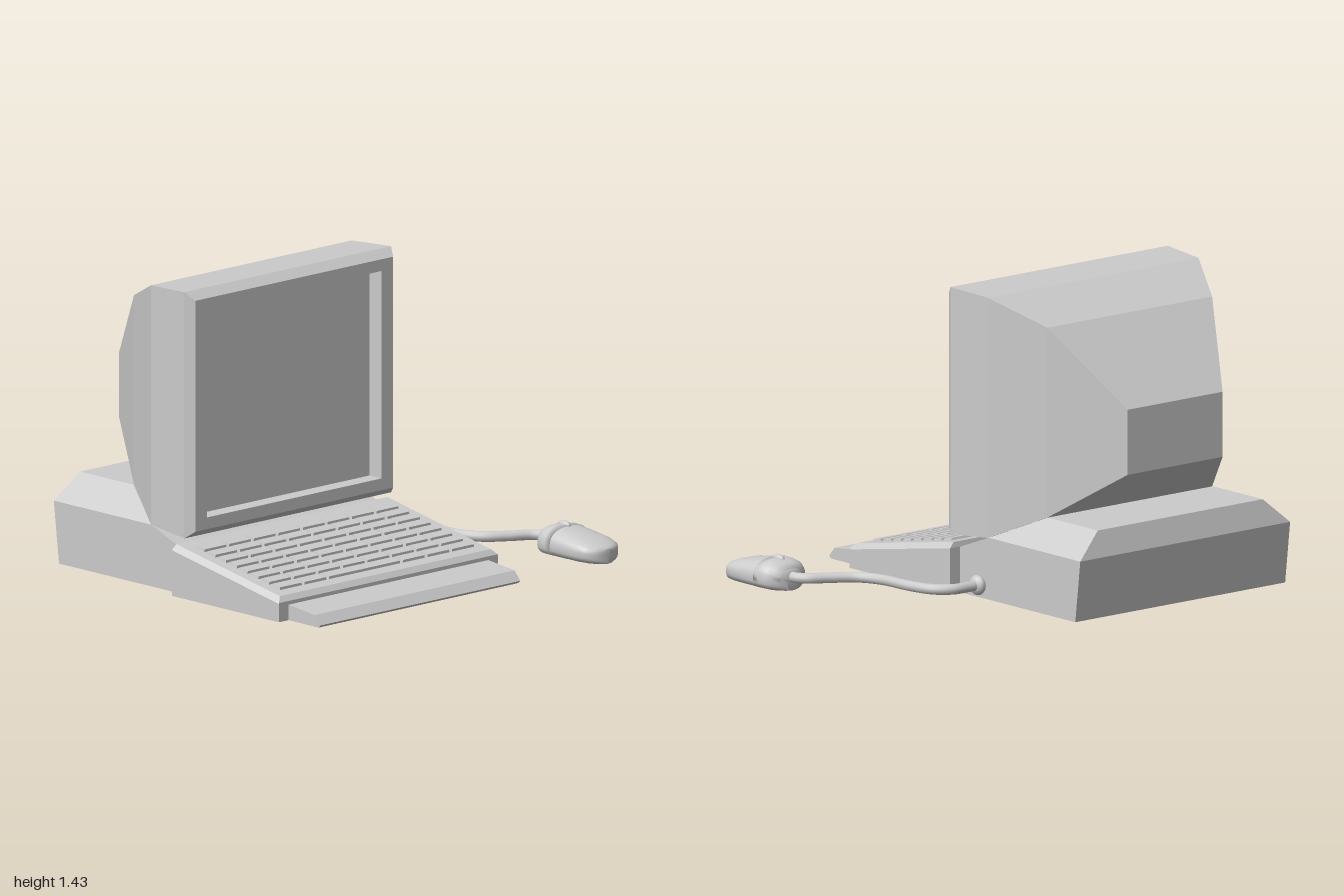
import * as THREE from 'three';

const CX = -0.31; // centre line of the computer
const flat = new THREE.MeshStandardMaterial({ color: 0xcccccc, flatShading: true, side: THREE.DoubleSide });
const smooth = new THREE.MeshStandardMaterial({ color: 0xcccccc });

// Skin over cross-sections ordered from back to front, corners counter-clockwise seen from the front
function loft(rings, capFront = true) {
  const n = rings[0].length, pos = rings.flat(2), idx = [];
  for (let i = 0; i < rings.length - 1; i++) {
    for (let j = 0; j < n; j++) {
      const a = i * n + j, b = i * n + (j + 1) % n;
      idx.push(a, b, b + n, a, b + n, a + n);
    }
  }
  const last = (rings.length - 1) * n;
  for (let j = 1; j < n - 1; j++) {
    idx.push(0, j + 1, j);
    if (capFront) idx.push(last, last + j, last + j + 1);
  }
  const g = new THREE.BufferGeometry();
  g.setAttribute('position', new THREE.Float32BufferAttribute(pos, 3));
  g.setIndex(idx);
  g.computeVertexNormals();
  return g;
}

const rect = (x0, x1, y0, y1, z) => [[x0, y0, z], [x1, y0, z], [x1, y1, z], [x0, y1, z]];

// Box section with chamfered shoulders: half widths, heights and depths of bottom, shoulder and top
const shouldered = (ws, wt, ys, yt, zb, zs, zt) => [
  [CX - ws, ys, zs], [CX - ws, 0, zb], [CX + ws, 0, zb],
  [CX + ws, ys, zs], [CX + wt, yt, zt], [CX - wt, yt, zt],
];

// Rounded mouse section: half width, top height, depth
function mouseRing([w, h, z], grow = 0) {
  const ring = [], n = 28, mid = Math.min(0.055, h * 0.6);
  const pw = (v, e) => Math.sign(v) * Math.abs(v) ** e;
  for (let i = 0; i < n; i++) {
    const t = (i / n) * Math.PI * 2, c = Math.cos(t), s = Math.sin(t);
    ring.push([
      0.877 + (w + grow * 0.3) * pw(c, s < 0 ? 0.5 : 0.8),
      s < 0 ? mid + mid * pw(s, 0.7) : mid + (h + grow - mid) * pw(s, 0.85), z,
    ]);
  }
  return ring;
}

export function createModel() {
  const model = new THREE.Group();
  const add = (name, geo, mat = flat, parent = model) => {
    const m = new THREE.Mesh(geo, mat);
    m.name = name;
    parent.add(m);
    return m;
  };

  // Monitor housing with recessed opening
  add('monitorHousing', loft([
    rect(-0.59, -0.02, 0.635, 0.94, -0.82),
    rect(-0.80, 0.19, 0.41, 1.30, -0.5),
    rect(-0.94, 0.325, 0.29, 1.415, -0.24),
    rect(-0.96, 0.345, 0.27, 1.427, 0),
    rect(-0.93, 0.315, 0.305, 1.39, 0.045),
    rect(-0.86, 0.242, 0.36, 1.335, 0.045),
    rect(-0.86, 0.242, 0.36, 1.335, -0.035),
  ], false));
  add('screen', new THREE.PlaneGeometry(1.102, 0.975)).position.set(-0.309, 0.8475, -0.035);

  // Rear case with raised plateau under the monitor
  add('rearCase', loft([
    shouldered(0.63, 0.495, 0.29, 0.41, -0.85, -0.885, -0.85),
    shouldered(0.63, 0.495, 0.29, 0.41, -0.5, -0.5, -0.5),
    shouldered(0.63, 0.63, 0.29, 0.29, -0.24, -0.24, -0.24),
    shouldered(0.63, 0.63, 0.21, 0.21, -0.03, -0.03, -0.03),
  ]));

  // Sloping keyboard body with chamfered rim
  add('keyboardBody', loft([
    shouldered(0.69, 0.665, 0.215, 0.24, -0.04, -0.04, -0.035),
    shouldered(0.69, 0.665, 0.09, 0.115, 0.65, 0.65, 0.65),
    shouldered(0.69, 0.69, 0.085, 0.09, 0.67, 0.67, 0.67),
  ]));

  // Palm rest in front of the keyboard
  const restRing = (x) => [[x, 0, 0.62], [x, 0, 0.87], [x, 0.012, 0.882], [x, 0.055, 0.845], [x, 0.078, 0.62]];
  add('palmRest', loft([restRing(CX + 0.63), restRing(CX - 0.63)]));

  // Keys lie on the keyboard slope
  const keys = new THREE.Group();
  keys.name = 'keys';
  keys.position.set(CX, 0.24, -0.035);
  keys.rotation.x = Math.atan(0.125 / 0.685);
  model.add(keys);
  const pitchX = 0.155, pitchZ = 0.0725;
  const addKey = (name, col, row, span) => {
    const w = pitchX * span - 0.01, d = pitchZ - 0.012;
    const g = new THREE.BoxGeometry(w, 0.024, d), p = g.attributes.position;
    for (let i = 0; i < p.count; i++) {
      if (p.getY(i) > 0) { // taper towards the top
        p.setX(i, p.getX(i) - Math.sign(p.getX(i)) * 0.005);
        p.setZ(i, p.getZ(i) - Math.sign(p.getZ(i)) * 0.005);
      }
    }
    add(name, g, flat, keys).position.set((col + span / 2 - 4) * pitchX, 0, 0.068 + (row + 0.5) * pitchZ);
  };
  for (let row = 0; row < 8; row++) {
    for (let col = 0; col < 8; col++) {
      if (row === 7 && col >= 2 && col <= 4) continue;
      addKey('key', col, row, 1);
    }
  }
  addKey('spaceBar', 2, 7, 3);

  // Cable with its plug on the side of the case
  const path = [[0.32, -0.185], [0.40, -0.187], [0.48, -0.18], [0.55, -0.12], [0.585, 0.0], [0.60, 0.18],
    [0.65, 0.29], [0.75, 0.365], [0.84, 0.42], [0.872, 0.47], [0.875, 0.52]];
  const curve = new THREE.CatmullRomCurve3(path.map(([x, z]) => new THREE.Vector3(x, 0.062, z)));
  add('mouseCable', new THREE.TubeGeometry(curve, 64, 0.025, 10), smooth);
  const plug = add('cablePlug', new THREE.SphereGeometry(0.047, 12, 8), smooth);
  plug.scale.x = 0.65;
  plug.position.set(0.34, 0.062, -0.185);

  // Mouse body, raised button cover and wheel
  const sections = [[0.03, 0.08, 0.487], [0.065, 0.1, 0.495], [0.1, 0.117, 0.517], [0.117, 0.128, 0.545],
    [0.122, 0.133, 0.585], [0.123, 0.132, 0.62], [0.123, 0.122, 0.7], [0.121, 0.109, 0.78],
    [0.108, 0.095, 0.83], [0.08, 0.083, 0.862], [0.045, 0.074, 0.878], [0.01, 0.068, 0.882]];
  add('mouseBody', loft(sections.map((s) => mouseRing(s))), smooth);
  add('mouseButtons', loft(sections.slice(1, 6).map((s) => mouseRing(s, 0.005))), smooth);
  const wheel = add('mouseWheel', new THREE.SphereGeometry(0.02, 12, 10), smooth);
  wheel.scale.set(0.9, 1, 2);
  wheel.position.set(0.877, 0.133, 0.588);

  return model;
}
